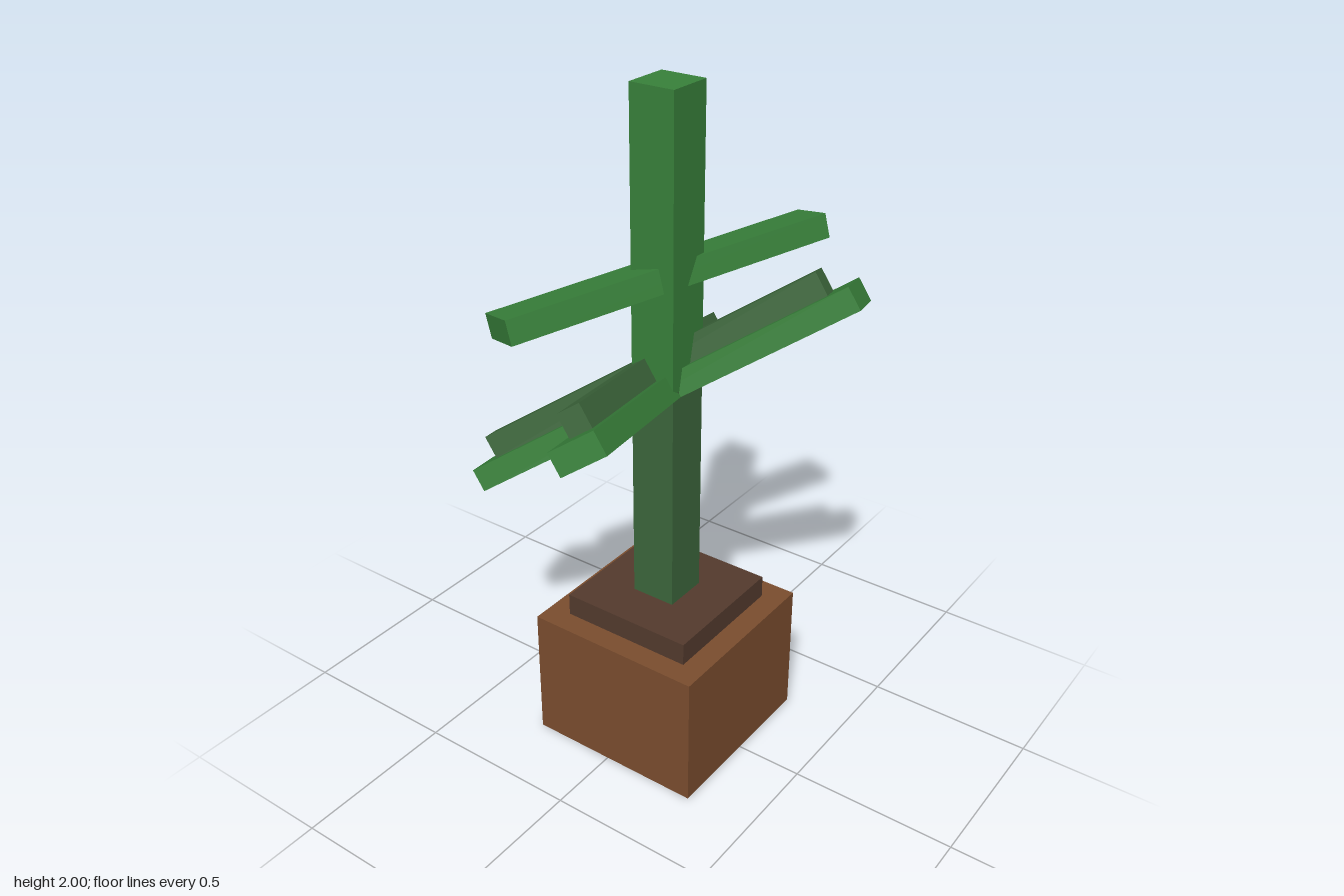
import * as THREE from 'three';

const U = 2 / 29; // the model is laid out on a grid of 29 units in height
const rad = THREE.MathUtils.degToRad;

function material(name, color) {
  const m = new THREE.MeshStandardMaterial({ color });
  m.name = name;
  return m;
}

// Box measured in grid units, placed at a position in scene units
function block(name, mat, size, pos) {
  const mesh = new THREE.Mesh(new THREE.BoxGeometry(...size.map((s) => s * U)), mat);
  mesh.name = name;
  mesh.position.set(...pos);
  return mesh;
}

export function createModel() {
  const leafGreen = material('leaf green', 0x38803a);
  const mossGreen = material('moss green', 0x3c663b);
  const clay = material('clay brown', 0x7a4d2e);
  const earth = material('dark earth', 0x533a2d);

  const model = new THREE.Group();
  model.name = 'pottedPlant';

  // Pot, soil and two-tone stem, stacked upwards: [name, material, width, bottom, top]
  const stack = [
    ['pot', clay, 8, 0, 6],
    ['soil', earth, 6, 6, 7],
    ['lowerStem', mossGreen, 2, 7, 17],
    ['upperStem', leafGreen, 2, 17, 29],
  ];
  for (const [name, mat, w, y0, y1] of stack) {
    model.add(block(name, mat, [w, y1 - y0, w], [0, ((y0 + y1) / 2) * U, 0.02]));
  }

  // Large tilted cross of leaves, each with a narrow rib on top
  const lowerLeaves = new THREE.Group();
  lowerLeaves.name = 'lowerLeaves';
  lowerLeaves.position.set(0, 1.136, 0.003);
  lowerLeaves.rotation.x = rad(-35);
  for (const angle of [20, 110]) {
    const leaf = new THREE.Group();
    leaf.name = 'leafWithRib';
    leaf.rotation.y = rad(angle);
    leaf.add(block('leaf', leafGreen, [18, 1, 2], [0, 0, 0]));
    leaf.add(block('rib', mossGreen, [16, 1, 1], [0, U, 0]));
    lowerLeaves.add(leaf);
  }
  model.add(lowerLeaves);

  // Single smaller leaf higher up the stem
  const upperLeaf = new THREE.Group();
  upperLeaf.name = 'upperLeaf';
  upperLeaf.position.set(0, 1.482, 0.008);
  upperLeaf.rotation.x = rad(-15);
  const blade = block('leaf', leafGreen, [14, 1, 2], [0, 0, 0]);
  blade.rotation.y = rad(-25);
  upperLeaf.add(blade);
  model.add(upperLeaf);

  return model;
}
